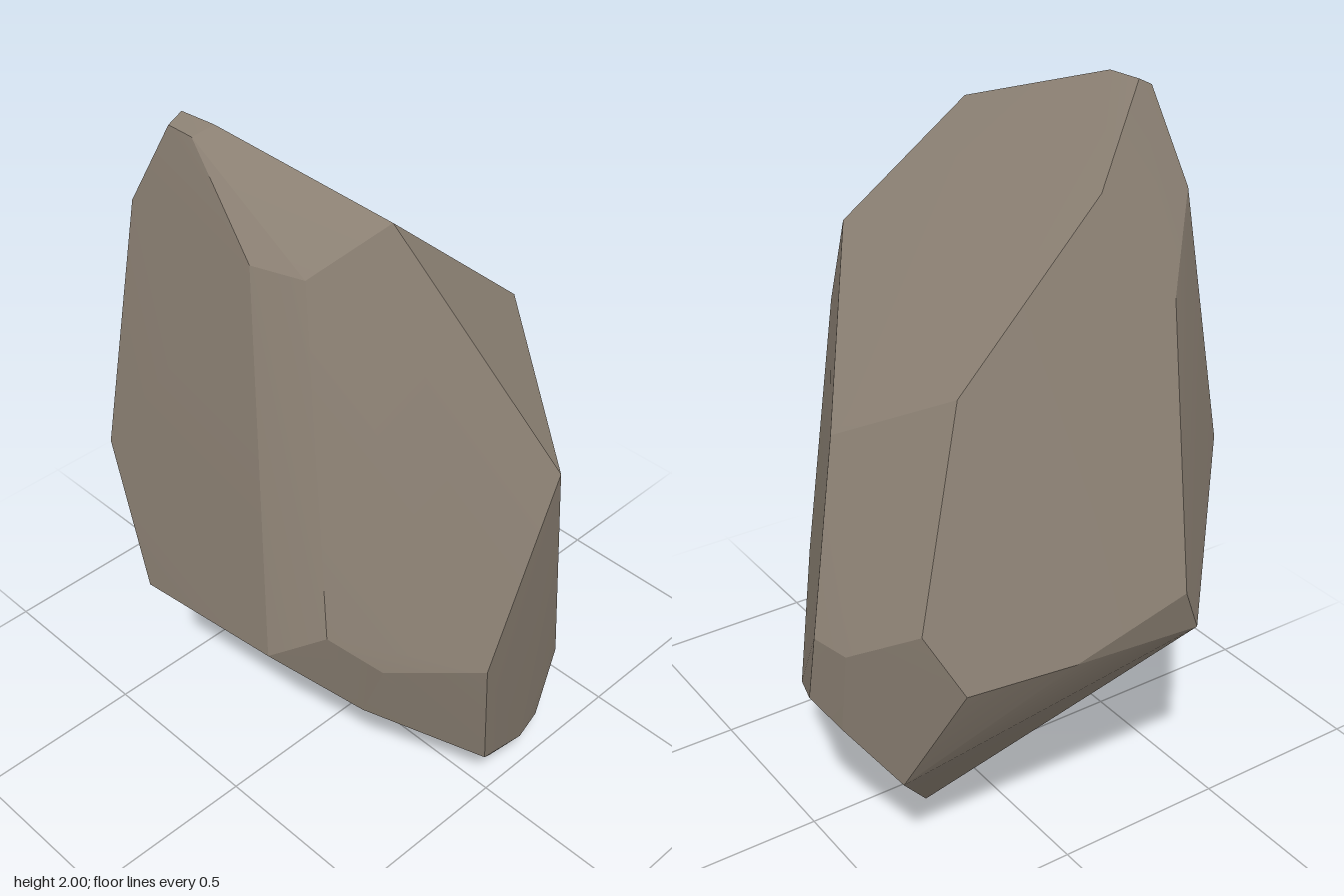
import * as THREE from 'three';
import { ConvexGeometry } from 'three/addons/geometries/ConvexGeometry.js';
import { toCreasedNormals } from 'three/addons/utils/BufferGeometryUtils.js';

// Corners of the faceted boulder, grouped by region
const corners = [
  // slanted top facet and peak
  [-0.37, 2, -0.2], [-0.36, 2, -0.1], [-0.41, 1.98, -0.2], [-0.41, 1.98, -0.12],
  [-0.15, 1.8, -0.35], [0.28, 1.4, -0.39], [0.46, 1.24, -0.11], [0.12, 1.56, 0.39], [-0.21, 1.86, 0.31],
  // front
  [-0.40, 1.76, 0.23], [-0.455, 1.77, 0.11], [0.02, 1.22, 0.65], [-0.23, 0.75, 0.67],
  [-0.44, 0.79, 0.52], [-0.54, 0.91, 0.43], [-0.605, 0.8, 0.29], [-0.44, 0.61, 0.45],
  [-0.16, 0.35, 0.62], [0.02, 0.27, 0.59], [0.12, 0.26, 0.56], [0.17, 0.48, 0.57],
  // left flank
  [0.6, 0.78, -0.24], [0.6, 0.58, -0.2], [0.38, 0.27, 0.26], [0.57, 0.77, -0.34],
  [0.56, 0.52, -0.29], [0.46, 0.88, -0.51], [0.38, 0.72, -0.58], [0.45, 0.37, -0.4],
  // back
  [0.1, 0.74, -0.64], [-0.21, 0.85, -0.67], [-0.28, 0.71, -0.64], [-0.3, 1.54, -0.46],
  [-0.44, 1.75, -0.32], [-0.54, 1.06, -0.37], [-0.59, 0.71, -0.19], [-0.34, 0.58, -0.45],
  // foot
  [0.09, 0.01, 0.43], [0.19, 0, 0.39], [0.19, 0, -0.09],
];

export function createModel() {
  const group = new THREE.Group();
  group.name = 'boulder';
  const hull = new ConvexGeometry(corners.map((c) => new THREE.Vector3(...c)));
  // blend nearly coplanar triangles into single facets, keep real edges sharp
  const rock = new THREE.Mesh(
    toCreasedNormals(hull, 0.2),
    new THREE.MeshStandardMaterial({ color: 0x8a7f72 })
  );
  rock.name = 'rock';
  group.add(rock);
  return group;
}
